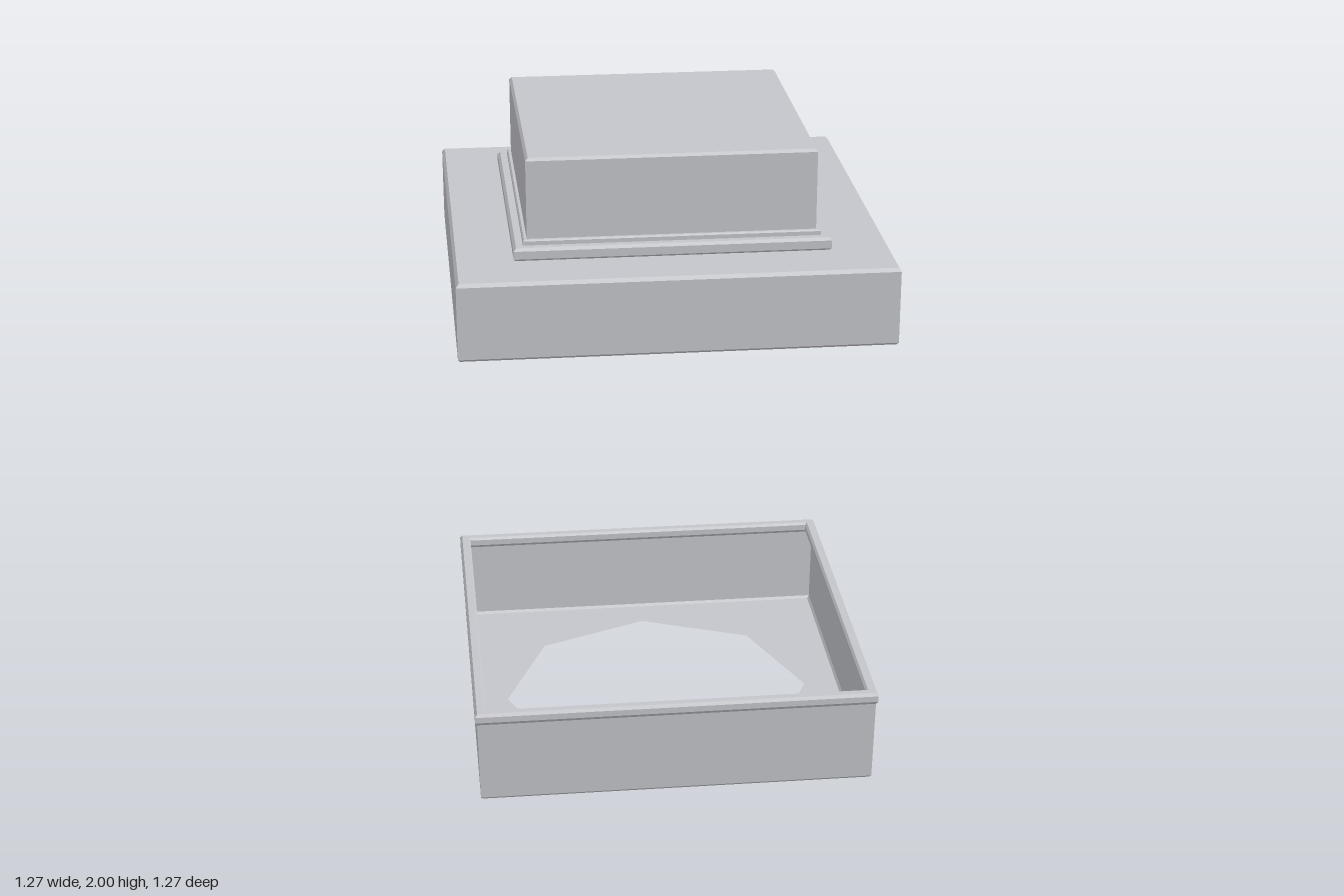
import * as THREE from 'three';
import { toCreasedNormals } from 'three/addons/utils/BufferGeometryUtils.js';

// Square sheet swept from a [half width, height] profile, listed from the bottom up
function squareSheet(profile) {
  const points = profile.map(([h, y]) => new THREE.Vector2(h * Math.SQRT2, y));
  return toCreasedNormals(new THREE.LatheGeometry(points, 4, Math.PI / 4), 0.1);
}

export function createModel() {
  const model = new THREE.Group();
  const grey = new THREE.MeshStandardMaterial({ color: 0xc4c5ca, side: THREE.DoubleSide });
  grey.name = 'light grey';

  function add(name, geometry, parent) {
    const mesh = new THREE.Mesh(geometry, grey);
    mesh.name = name;
    parent.add(mesh);
  }

  // Lower tray: slightly flared walls with a hollow rolled lip
  const tray = new THREE.Group();
  tray.name = 'tray';
  model.add(tray);
  add('trayWalls', squareSheet([
    [0.603, 0], [0.61, 0.008], [0.615, 0.268], [0.621, 0.278], [0.621, 0.297],
    [0.614, 0.306], [0.593, 0.306], [0.586, 0.299], [0.586, 0.28], [0.593, 0.27],
  ]), tray);

  // Tray floor with an octagonal opening
  const s = 0.603;
  const floor = new THREE.Shape([[-s, -s], [s, -s], [s, s], [-s, s]].map(([x, y]) => new THREE.Vector2(x, y)));
  const opening = [];
  for (let i = 0; i < 8; i++) {
    const a = -i * Math.PI / 4;
    opening.push(new THREE.Vector2(0.495 * Math.cos(a), 0.495 * Math.sin(a)));
  }
  floor.holes.push(new THREE.Path(opening));
  add('trayFloor', new THREE.ShapeGeometry(floor).rotateX(Math.PI / 2), tray);

  // Hollow lid: turned-in bottom edge, skirt, shelf, two small steps and raised cap
  const lid = new THREE.Group();
  lid.name = 'lid';
  model.add(lid);
  add('lidSkirt', squareSheet([
    [0.615, 1.478], [0.618, 1.47], [0.63, 1.47], [0.636, 1.477],
    [0.636, 1.695], [0.627, 1.705], [0.457, 1.705],
  ]), lid);
  add('lidSteps', squareSheet([
    [0.457, 1.705], [0.463, 1.711], [0.463, 1.735], [0.455, 1.743],
    [0.434, 1.743], [0.434, 1.755], [0.43, 1.759], [0.422, 1.759],
  ]), lid);
  add('lidCap', squareSheet([
    [0.422, 1.759], [0.422, 1.992], [0.414, 2], [0, 2],
  ]), lid);

  return model;
}
